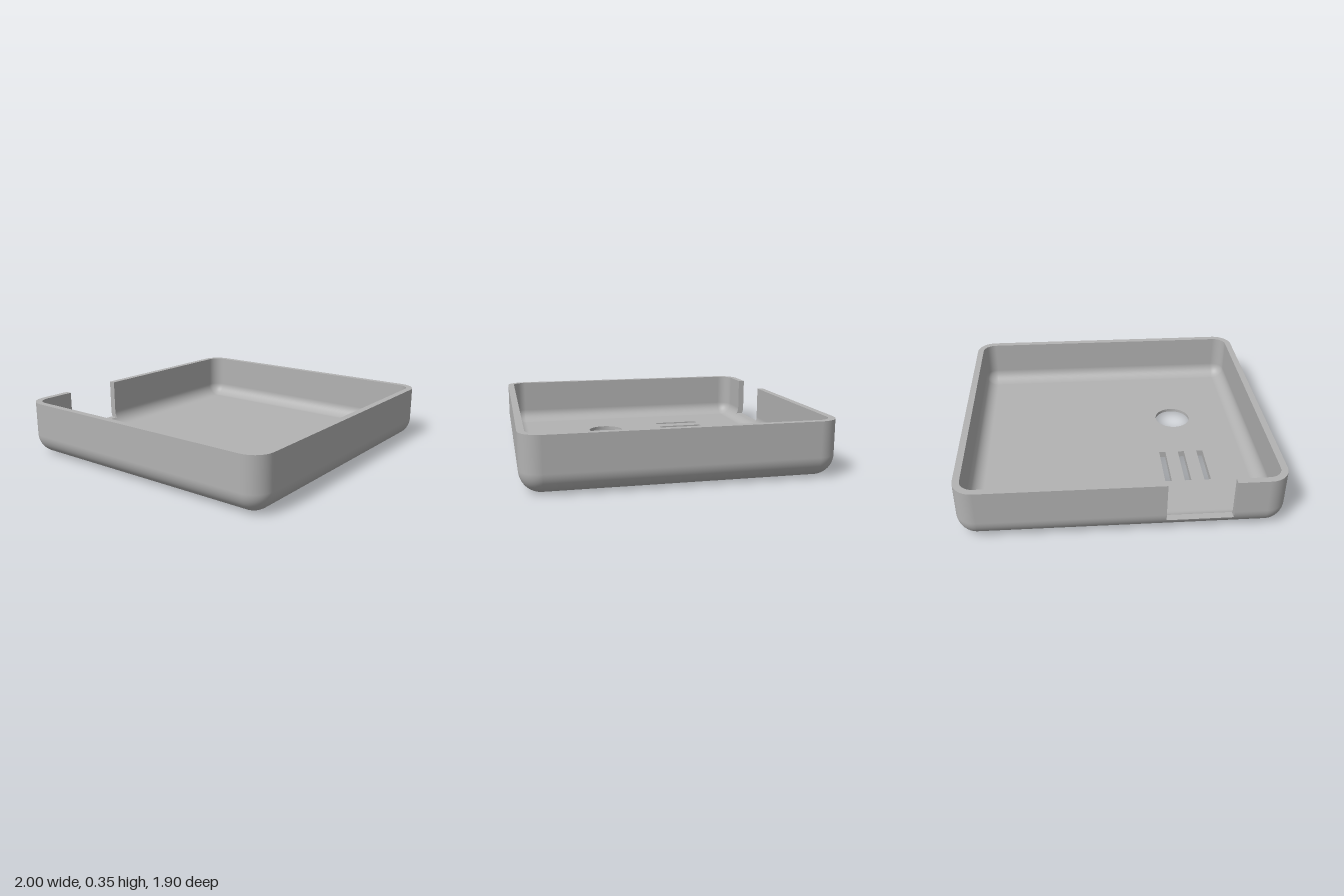
import * as THREE from 'three';

const CX = 0.87, CZ = 0.82;          // corner centres
const R = 0.13, WALL = 0.043;        // outer radius, wall thickness
const RI = R - WALL;                 // inner radius
const TOP = 0.352, NOTCH = 0.083;    // rim height, notch sill height
const NX0 = -0.67, NX1 = -0.26;      // notch sides
const BORE = 0.022;                  // recess depth under the round hole

// Rounded skin profile from the floor up to a height: [radius, y, normalR, normalY]
function skin(r, top) {
  const end = Math.asin(Math.min(0, (top - R) / r));
  const points = [];
  for (let i = 0; i <= 14; i++) {
    const a = -Math.PI / 2 + (end + Math.PI / 2) * i / 14;
    points.push([r * Math.cos(a), R + r * Math.sin(a), Math.cos(a), Math.sin(a)]);
  }
  if (top > R) points.push([r, top, 1, 0]);
  return points;
}

// Sweep a profile along a path of [x, z, angle]
function sweep(path, profile) {
  const pos = [], nor = [], idx = [], n = profile.length;
  path.forEach(([x, z, a], i) => {
    const c = Math.cos(a), s = Math.sin(a);
    profile.forEach(([r, y, nr, ny], j) => {
      pos.push(x + c * r, y, z + s * r);
      nor.push(c * nr, ny, s * nr);
      if (i < path.length - 1 && j < n - 1) {
        const k = i * n + j;
        idx.push(k, k + 1, k + n, k + 1, k + n + 1, k + n);
      }
    });
  });
  const g = new THREE.BufferGeometry();
  g.setAttribute('position', new THREE.Float32BufferAttribute(pos, 3));
  g.setAttribute('normal', new THREE.Float32BufferAttribute(nor, 3));
  g.setIndex(idx);
  return g;
}

export function createModel() {
  const model = new THREE.Group();
  model.name = 'enclosureTray';
  const grey = new THREE.MeshStandardMaterial({ color: 0xb2b2b2 });
  grey.name = 'grey plastic';
  const add = (name, geometry, parent = model) => {
    const mesh = new THREE.Mesh(geometry, grey);
    mesh.name = name;
    parent.add(mesh);
    return mesh;
  };

  // Path round the tray, from one side of the notch to the other
  const back = Math.PI * 1.5;
  const around = [[NX1, -CZ, back]];
  [[1, -1, 3], [1, 1, 0], [-1, 1, 1], [-1, -1, 2]].forEach(([sx, sz, q]) => {
    for (let i = 0; i <= 14; i++) around.push([sx * CX, sz * CZ, (q + i / 14) * Math.PI / 2]);
  });
  around.push([NX0, -CZ, back]);
  const acrossNotch = [[NX0, -CZ, back], [NX1, -CZ, back]];

  // Outer skin, rim and inner skin for the full wall and the low sill
  const buildWall = (name, path, top) => {
    const wall = new THREE.Group();
    wall.name = name;
    model.add(wall);
    const outer = skin(R, top);
    const inner = skin(RI, top).reverse().map(([r, y, nr, ny]) => [r, y, -nr, -ny]);
    const rim = [[outer.at(-1)[0], top, 0, 1], [inner[0][0], top, 0, 1]];
    add(name + 'Outside', sweep(path, outer), wall);
    add(name + 'Rim', sweep(path, rim), wall);
    add(name + 'Inside', sweep(path, inner), wall);
  };
  buildWall('wall', around, TOP);
  buildWall('notchSill', acrossNotch, NOTCH);

  // Cut faces at both ends of the notch
  const section = [...skin(R, TOP).filter(p => p[1] > NOTCH), ...skin(RI, TOP).reverse().filter(p => p[1] > NOTCH)];
  const outerSill = skin(R, NOTCH).at(-1), innerSill = skin(RI, NOTCH).at(-1);
  const outline = [outerSill, ...section, innerSill];
  [[NX0, 1], [NX1, -1]].forEach(([x, s]) => {
    const shape = new THREE.Shape(outline.map(([r, y]) => new THREE.Vector2(s * r, y)));
    const face = add(s > 0 ? 'notchRightFace' : 'notchLeftFace', new THREE.ShapeGeometry(shape));
    face.rotation.y = s * Math.PI / 2;
    face.position.set(x, 0, -CZ);
  });

  // Floor in two layers, with vent slots and a round hole recessed from below
  const rect = (T, x0, z0, x1, z1) => new T([[x0, z0], [x1, z0], [x1, z1], [x0, z1]].map(p => new THREE.Vector2(...p)));
  const floorLayer = (name, y0, y1, radius) => {
    const shape = rect(THREE.Shape, -CX, -CZ, CX, CZ);
    for (const x of [-0.594, -0.464, -0.334]) {
      shape.holes.push(rect(THREE.Path, x - 0.0215, -0.515, x + 0.0215, -0.19));
    }
    shape.holes.push(new THREE.Path().absarc(-0.464, 0.24, radius, 0, Math.PI * 2, true));
    const g = new THREE.ExtrudeGeometry(shape, { depth: y1 - y0, bevelEnabled: false, curveSegments: 48 });
    g.rotateX(Math.PI / 2).translate(0, y1, 0);
    add(name, g);
  };
  floorLayer('floorUnderside', 0, BORE, 0.18);
  floorLayer('floorTop', BORE, WALL, 0.123);

  return model;
}
